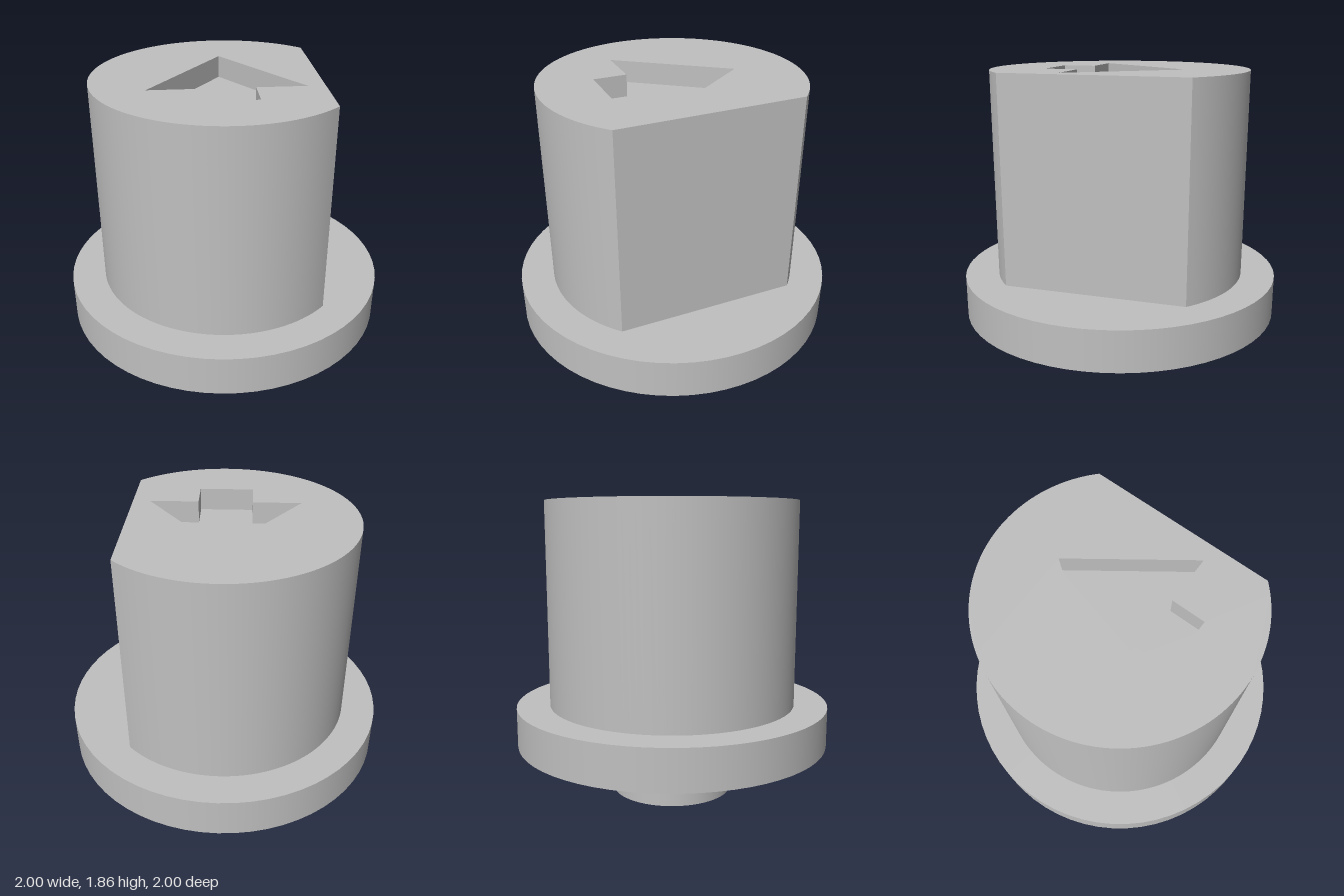
import * as THREE from 'three';
import { toCreasedNormals } from 'three/addons/utils/BufferGeometryUtils.js';

export function createModel() {
  const model = new THREE.Group();
  const grey = new THREE.MeshStandardMaterial({ color: 0xc0c0c0 });
  grey.name = 'plain grey';

  const add = (name, geometry, y) => {
    const mesh = new THREE.Mesh(geometry, grey);
    mesh.name = name;
    mesh.position.y = y;
    model.add(mesh);
  };
  const disc = (name, radius, bottom, top) =>
    add(name, new THREE.CylinderGeometry(radius, radius, top - bottom, 64), (bottom + top) / 2);

  // Round stub and wide flange
  disc('bottomStub', 0.39, 0, 0.335);
  disc('flange', 1, 0.33, 0.58);

  // Arrow outline, pointing to the back
  const arrow = [
    [0, 0.41], [-0.455, -0.22], [-0.165, -0.22], [-0.165, -0.425],
    [0.162, -0.425], [0.162, -0.22], [0.455, -0.22],
  ].map(([x, y]) => new THREE.Vector2(x, y));

  // Round body with one flat side and an arrow-shaped opening
  const radius = 0.79, flatX = 0.557, bottom = 0.58, top = 1.86;
  const angle = Math.acos(flatX / radius);
  const outline = new THREE.Shape();
  outline.absarc(0, 0, radius, angle, 2 * Math.PI - angle, false);
  outline.closePath();
  outline.holes.push(new THREE.Path(arrow));
  const body = new THREE.ExtrudeGeometry(outline, {
    depth: top - bottom, bevelEnabled: false, curveSegments: 48,
  });
  body.rotateX(-Math.PI / 2);
  add('flattenedBody', toCreasedNormals(body, 0.5), bottom);

  // Floor of the shallow arrow recess
  const floor = new THREE.ShapeGeometry(new THREE.Shape(arrow));
  floor.rotateX(-Math.PI / 2);
  add('arrowRecessFloor', floor, top - 0.135);

  return model;
}
